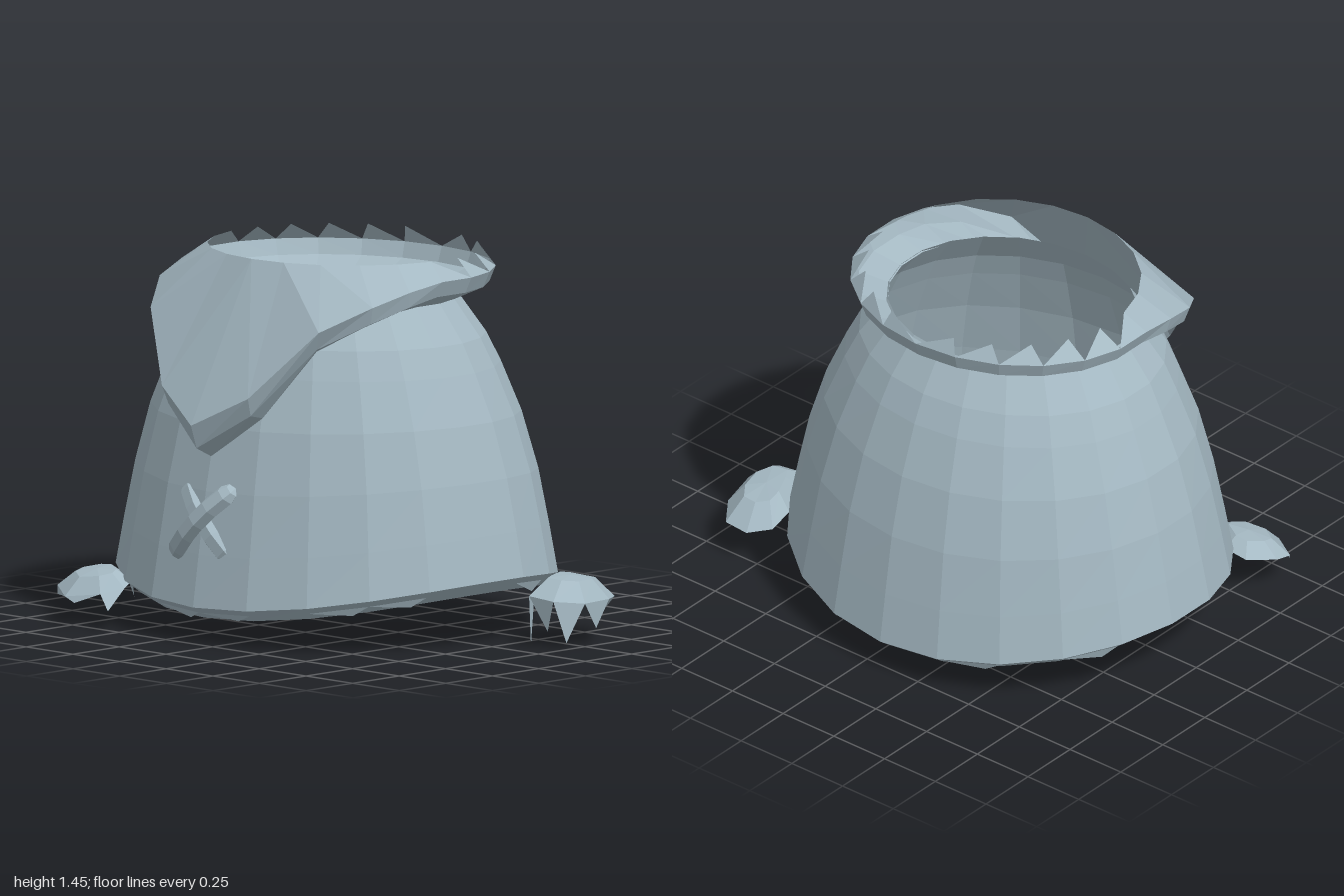
import * as THREE from 'three';

const N = 22; // sides around the garment
const CX = -0.1; // axis of the garment

const cloth = new THREE.MeshStandardMaterial({ color: 0xa4b8c2, flatShading: true, side: THREE.DoubleSide });
cloth.name = 'greyBlueCloth';

// mesh from a flat list of triangles, each three [x, y, z] corners
function meshOf(name, tris) {
  const g = new THREE.BufferGeometry();
  g.setAttribute('position', new THREE.Float32BufferAttribute(tris.flat(2), 3));
  g.computeVertexNormals();
  const m = new THREE.Mesh(g, cloth);
  m.name = name;
  return m;
}

// skin closed rings, listed from bottom to top
function loft(rings) {
  const tris = [];
  for (let r = 0; r + 1 < rings.length; r++) {
    const lo = rings[r], hi = rings[r + 1], n = lo.length;
    for (let i = 0; i < n; i++) {
      const j = (i + 1) % n;
      tris.push([lo[i], lo[j], hi[j]], [lo[i], hi[j], hi[i]]);
    }
  }
  return tris;
}

const angle = (i) => (i / N) * Math.PI * 2;
const ringOf = (f) => Array.from({ length: N }, (_, i) => f(angle(i), i));
const ellipse = (a, rx, rz, y, cz) => [CX + rx * Math.sin(a), y, cz + rz * Math.cos(a)];

// bell-shaped body: [x radius, height, hem dip at front and back, z centre]
const bodyRows = [
  [0.83, 0.205, 0.11, -0.02],
  [0.9, 0.26, 0.12, -0.02],
  [0.865, 0.43, 0.09, -0.02],
  [0.82, 0.63, 0.05, -0.02],
  [0.755, 0.84, 0.02, -0.015],
  [0.675, 1.02, 0, -0.01],
  [0.62, 1.13, 0, -0.005],
  [0.505, 1.28, 0, -0.003],
];
const bodyRings = bodyRows.map(([r, y, dip, cz]) =>
  ringOf((a) => ellipse(a, r, r * 0.86, y - dip * Math.cos(a) ** 2, cz)));

// ragged threads under the hem: [segment, drop]
function fringe() {
  const tris = [];
  const hem = bodyRings[0], rim = bodyRings[1];
  const mix = (p, q, t, d = 0) => p.map((v, k) => v + (q[k] - v) * t - (k === 1 ? d : 0));
  for (const [i, drop] of [[0, 0.015], [2, 0.02], [3, 0.02], [6, 0.03], [8, 0.02], [9, 0.03], [12, 0.02],
    [14, 0.03], [17, 0.04], [18, 0.05], [19, 0.045], [21, 0.02]]) {
    const j = (i + 1) % N;
    const a = mix(hem[i], rim[i], 0.5), b = mix(hem[j], rim[j], 0.5);
    const tip = mix(mix(hem[i], hem[j], 0.75), mix(rim[i], rim[j], 0.75), 0.3, drop);
    tris.push([a, tip, b]);
  }
  return tris;
}

// collar cross-sections from the front point to the side: [x offset, y, z]
const edgeFront = [[0, 0.84, 0.765], [0.23, 0.96, 0.69], [0.45, 1.22, 0.53], [0.57, 1.31, 0.36], [0.61, 1.355, 0.2]];
const foldFront = [[0, 0.75, 0.735], [0.22, 0.89, 0.665], [0.42, 1.15, 0.51], [0.55, 1.245, 0.35], [0.595, 1.295, 0.19]];
const underFront = [[0, 0.71, 0.655], [0.22, 0.875, 0.6], [0.36, 1.13, 0.45], [0.44, 1.2, 0.33], [0.48, 1.255, 0.18]];

function collarRing(front, rx, rz, y, cz) {
  return ringOf((a, i) => {
    const k = Math.min(i, N - i), p = front[k];
    return p ? [CX + (i <= N / 2 ? 1 : -1) * p[0], p[1], p[2]] : ellipse(a, rx, rz, y, cz);
  });
}

function collar() {
  const under = collarRing(underFront, 0.505, 0.44, 1.27, 0);
  const fold = collarRing(foldFront, 0.605, 0.53, 1.32, -0.035);
  const edge = collarRing(edgeFront, 0.63, 0.545, 1.38, -0.04);
  const top = ringOf((a) => ellipse(a, 0.54, 0.5, 1.445, -0.06));
  const flap = [], teeth = [];
  for (let k = 0; k < N / 2; k++) {
    for (const side of [1, -1]) {
      const i = (side * k + N) % N, j = (side * (k + 1) + N) % N;
      const put = (list, a, b, c) => list.push(side > 0 ? [a, b, c] : [a, c, b]);
      put(k < 5 ? flap : teeth, edge[i], edge[j], top[i]);
      if (k < 5) put(flap, edge[j], top[j], top[i]);
    }
  }
  const g = new THREE.Group();
  g.name = 'collar';
  g.add(meshOf('collarBand', loft([under, fold, edge])), meshOf('collarFlap', flap), meshOf('collarTeeth', teeth));
  return g;
}

// cross-stitch: a bent low-poly bar
function stitch(turn, z) {
  const g = new THREE.CapsuleGeometry(0.043, 0.32, 2, 6, 4);
  const p = g.attributes.position;
  for (let i = 0; i < p.count; i++) p.setZ(i, p.getZ(i) * 0.85 - 1.1 * p.getY(i) ** 2);
  const m = new THREE.Mesh(g, cloth);
  m.name = 'stitchBar';
  m.rotation.z = turn;
  m.position.z = z;
  return m;
}

// loose scrap: a low cap over an outline of [x, y, z], with hanging points [segment, tip]
function scrap(name, outline, lift, points) {
  const n = outline.length;
  const c = [0, 1, 2].map((k) => outline.reduce((s, p) => s + p[k], 0) / n);
  const inner = outline.map((p) => [c[0] + (p[0] - c[0]) * 0.55, c[1] + (p[1] - c[1]) * 0.5 + lift, c[2] + (p[2] - c[2]) * 0.55]);
  const tris = loft([outline, inner]);
  const peak = [c[0], c[1] + lift + 0.008, c[2]];
  inner.forEach((p, i) => tris.push([p, inner[(i + 1) % n], peak]));
  for (const [i, tip] of points) tris.push([outline[i], tip, outline[(i + 1) % n]]);
  return meshOf(name, tris);
}

export function createModel() {
  const model = new THREE.Group();
  model.name = 'poncho';
  model.add(meshOf('body', loft(bodyRings)), meshOf('hemFringe', fringe()), collar());

  const cross = new THREE.Group();
  cross.name = 'crossStitch';
  cross.add(stitch(-Math.PI / 4, 0.025), stitch(Math.PI / 4, 0));
  cross.children[1].position.z = -0.01;
  cross.position.set(-0.105, 0.465, 0.705);
  cross.rotation.x = -0.15;
  model.add(cross);

  // outlines run counter-clockwise seen from above
  model.add(scrap('leftScrap', [
    [0.78, 0.19, -0.2], [0.83, 0.19, -0.12], [0.95, 0.18, -0.13], [1.0, 0.165, -0.25],
    [0.96, 0.16, -0.42], [0.88, 0.15, -0.53], [0.77, 0.15, -0.54], [0.69, 0.17, -0.48], [0.7, 0.19, -0.37],
  ], 0.07, [
    [0, [0.83, 0, -0.13]], [1, [0.91, 0.06, -0.14]], [2, [0.98, 0.02, -0.17]],
    [3, [0.98, 0.06, -0.33]], [4, [0.93, 0.09, -0.39]],
  ]));
  model.add(scrap('rightScrap', [
    [-0.9, 0.13, 0.68], [-0.77, 0.11, 0.77], [-0.62, 0.13, 0.73], [-0.57, 0.15, 0.65],
    [-0.59, 0.17, 0.59], [-0.73, 0.18, 0.5], [-0.83, 0.17, 0.5], [-0.9, 0.15, 0.6],
  ], 0.05, [
    [0, [-0.88, 0.1, 0.7]], [1, [-0.72, 0.09, 0.77]], [2, [-0.53, 0.08, 0.78]],
  ]));
  return model;
}
